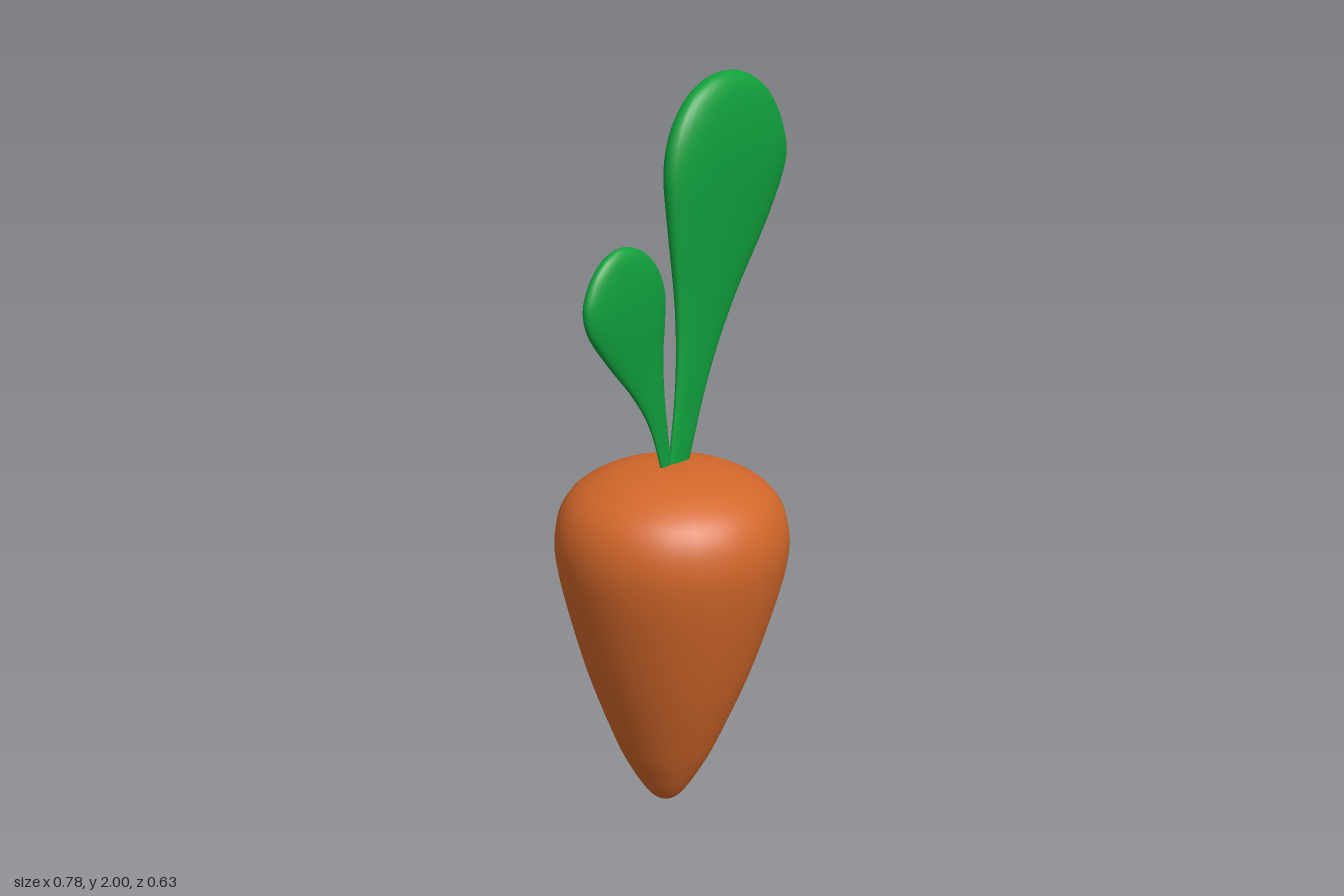
import * as THREE from 'three';

const orange = new THREE.MeshStandardMaterial({ color: 0xd2672a });
const green = new THREE.MeshStandardMaterial({ color: 0x10a03c, side: THREE.DoubleSide });

// Turned root whose tip leans slightly to one side
function makeRoot() {
  const profile = new THREE.SplineCurve([
    [0, 0.003], [0.03, 0.013], [0.06, 0.045], [0.1, 0.11], [0.145, 0.2], [0.225, 0.4],
    [0.286, 0.6], [0.314, 0.73], [0.315, 0.81], [0.295, 0.875], [0.255, 0.923],
    [0.18, 0.964], [0.09, 0.985], [0, 0.99],
  ].map(([r, y]) => new THREE.Vector2(r, y))).getPoints(52);
  profile.forEach((p) => { p.x = Math.max(p.x, 0); });
  profile[0].x = profile[profile.length - 1].x = 0;
  const geometry = new THREE.LatheGeometry(profile, 30);
  const pos = geometry.attributes.position;
  for (let i = 0; i < pos.count; i++) {
    const lean = -0.1 + 0.03 * THREE.MathUtils.smoothstep(pos.getY(i), 0, 0.8);
    pos.setX(i, pos.getX(i) + lean);
  }
  return new THREE.Mesh(geometry, orange);
}

// Leaf lofted from flattened oval sections: [y, left edge, right edge, half thickness]
function makeLeaf(rows) {
  const curve = (a, b) => new THREE.CatmullRomCurve3(
    rows.map((r) => new THREE.Vector3(r[a], r[0], r[b])), false, 'catmullrom', 0.5);
  const lefts = curve(1, 3), rights = curve(2, 3);
  const rings = 60, sides = 40, vertices = [], index = [];
  const round = (v) => Math.sign(v) * Math.abs(v) ** 0.85;
  for (let j = 0; j <= rings; j++) {
    const l = lefts.getPoint(j / rings), r = rights.getPoint(j / rings);
    for (let i = 0; i < sides; i++) {
      const a = (i / sides) * Math.PI * 2;
      vertices.push((l.x + r.x) / 2 + ((r.x - l.x) / 2) * round(Math.cos(a)), l.y,
        l.z * round(Math.sin(a)));
      if (j === rings) continue;
      const p = j * sides + i, q = j * sides + ((i + 1) % sides);
      index.push(p, p + sides, q + sides, p, q + sides, q);
    }
  }
  const geometry = new THREE.BufferGeometry();
  geometry.setAttribute('position', new THREE.Float32BufferAttribute(vertices, 3));
  geometry.setIndex(index);
  geometry.computeVertexNormals();
  return new THREE.Mesh(geometry, green);
}

export function createModel() {
  const model = new THREE.Group();
  model.name = 'carrot';

  const root = makeRoot();
  root.name = 'root';

  const largeLeaf = makeLeaf([
    [0.96, -0.085, -0.01, 0.009], [1.2, -0.052, 0.075, 0.015], [1.4, -0.05, 0.178, 0.026],
    [1.6, -0.073, 0.315, 0.041], [1.75, -0.087, 0.388, 0.051], [1.85, -0.065, 0.368, 0.052],
    [1.93, -0.01, 0.315, 0.045], [1.975, 0.055, 0.253, 0.032], [1.995, 0.115, 0.2, 0.015],
    [2, 0.16, 0.16, 0],
  ]);
  largeLeaf.name = 'largeLeaf';

  const smallLeaf = makeLeaf([
    [0.96, -0.105, -0.07, 0.006], [1.1, -0.152, -0.09, 0.009], [1.2, -0.215, -0.102, 0.014],
    [1.3, -0.303, -0.106, 0.021], [1.39, -0.373, -0.1, 0.028], [1.46, -0.39, -0.1, 0.031],
    [1.525, -0.365, -0.125, 0.029], [1.57, -0.325, -0.167, 0.023], [1.593, -0.283, -0.212, 0.012],
    [1.6, -0.25, -0.25, 0],
  ]);
  smallLeaf.name = 'smallLeaf';

  model.add(root, largeLeaf, smallLeaf);
  return model;
}
